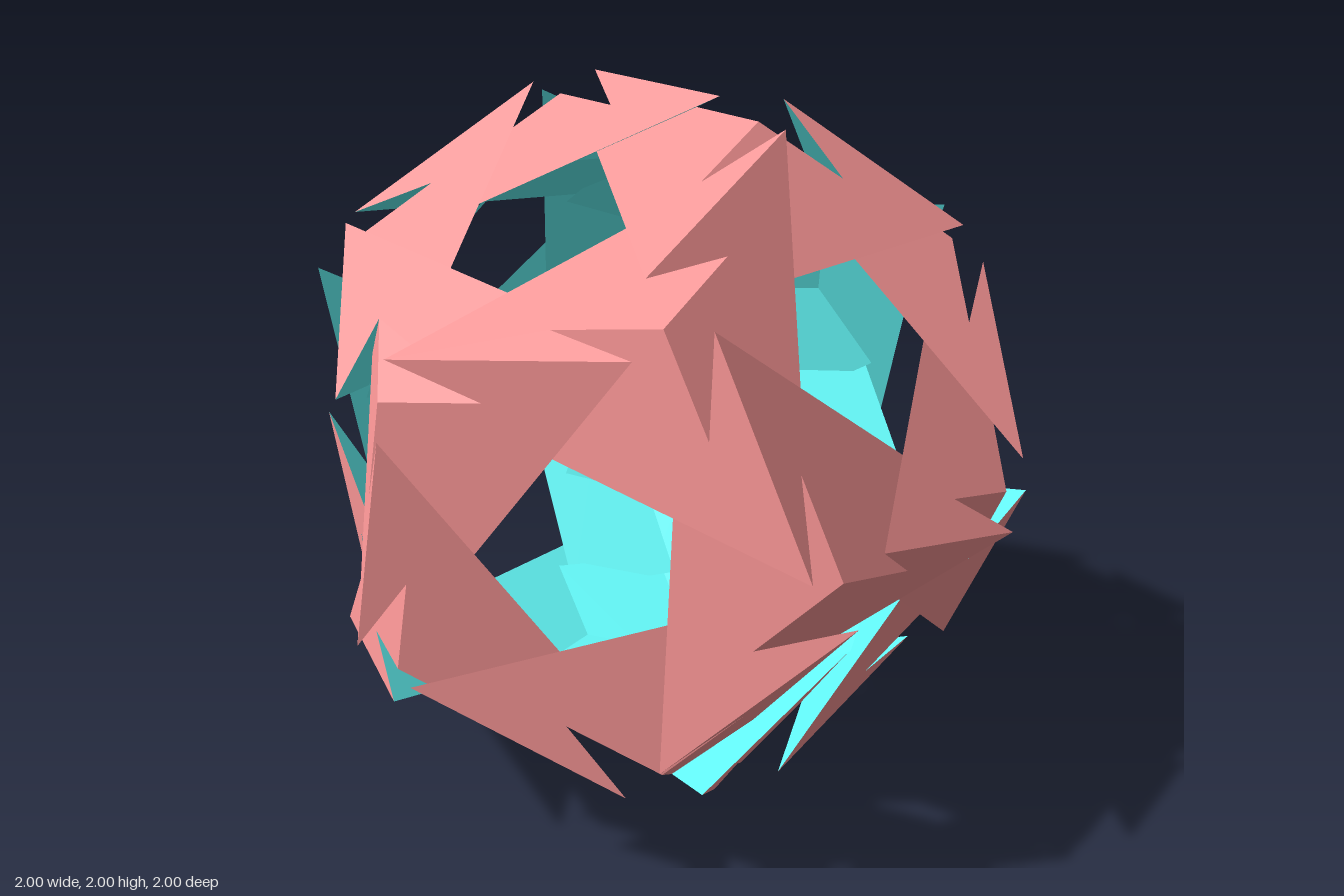
import * as THREE from 'three';
import { mergeGeometries } from 'three/addons/utils/BufferGeometryUtils.js';

const PHI = (1 + Math.sqrt(5)) / 2;
const V = (x, y, z = 0) => new THREE.Vector3(x, y, z);
const halfTurn = (p) => V(-p.x, -p.y, p.z);

// The 60 rotations of the icosahedron: 5 fifth-turns x 3 axis cycles x 4 half-turns
function icosahedralRotations() {
  const list = [];
  const fiveFold = V(1, 0, PHI).normalize();
  const diagonal = V(1, 1, 1).normalize();
  const signs = [[1, 1, 1], [-1, -1, 1], [-1, 1, -1], [1, -1, -1]];
  for (let i = 0; i < 5; i++)
    for (let j = 0; j < 3; j++)
      for (const s of signs) {
        const m = new THREE.Matrix4().makeScale(...s);
        m.multiply(new THREE.Matrix4().makeRotationAxis(diagonal, j * Math.PI * 2 / 3));
        m.multiply(new THREE.Matrix4().makeRotationAxis(fiveFold, i * Math.PI * 2 / 5));
        list.push(m);
      }
  return list;
}

// A flat polygon: its outline in x and y, lifted onto the plane normal . p = d
function flatFacet(outline, normal, d, inward) {
  const shape = new THREE.Shape(outline.map((p) => new THREE.Vector2(p.x, p.y)));
  const geo = new THREE.ShapeGeometry(shape);
  const pos = geo.attributes.position;
  for (let i = 0; i < pos.count; i++)
    pos.setZ(i, (d - normal.x * pos.getX(i) - normal.y * pos.getY(i)) / normal.z);
  if (inward) geo.setIndex(Array.from(geo.index.array).reverse());
  geo.computeVertexNormals();
  return geo;
}

// Repeats one facet over the whole ball
function shell(name, color, facet) {
  const copies = icosahedralRotations().map((m) => facet.clone().applyMatrix4(m));
  const mesh = new THREE.Mesh(mergeGeometries(copies), new THREE.MeshStandardMaterial({ color }));
  mesh.name = name;
  mesh.position.y = 1;
  return mesh;
}

export function createModel() {
  // Ridge across a two-fold axis, from tip to tip
  const tip = V(0.075, 0.295, 1);
  const tip2 = halfTurn(tip);
  const slope = 0.72 / Math.hypot(tip.x, tip.y);
  const normal = V(-slope * tip.y, slope * tip.x, 1);

  // Corner on a three-fold axis
  const axis = V(0, 1, PHI * PHI).normalize();
  const turn = Math.PI * 2 / 3;
  const corner = axis.clone().multiplyScalar(1 / normal.dot(axis));

  // Notch on the fold between this facet and its neighbour around the corner
  const fold = normal.clone().cross(normal.clone().applyAxisAngle(axis, turn));
  const notch = corner.clone().addScaledVector(fold, (0.095 - corner.y) / fold.y);
  const notch2 = notch.clone().applyAxisAngle(axis, -turn);

  // End of the long edge along the opening, tucked under the next facet
  const rim = V(-0.405, 0.366);
  rim.z = 1 - normal.x * rim.x - normal.y * rim.y;
  const outer = flatFacet([corner, notch2, rim, tip2, tip, notch], normal, 1, false);

  // Inner facet: underside of the spike, running on to the inner corner
  const innerNotch = halfTurn(notch);
  const innerRim = halfTurn(rim.clone().applyAxisAngle(axis, turn));
  const innerNormal = innerNotch.clone().sub(tip2).cross(rim.clone().sub(tip2));
  const d = innerNormal.dot(tip2);
  const innerCorner = axis.clone().multiplyScalar(d / innerNormal.dot(axis));
  const innerEnd = V(-0.104, 0.531);
  const inner = flatFacet(
    [tip2, innerNotch, innerRim, innerCorner, innerEnd, rim], innerNormal, d, true);

  const group = new THREE.Group();
  group.name = 'spikedOpenworkBall';
  group.add(shell('outerFacets', 0xff9999, outer));
  group.add(shell('innerFacets', 0x66ffff, inner));
  return group;
}
